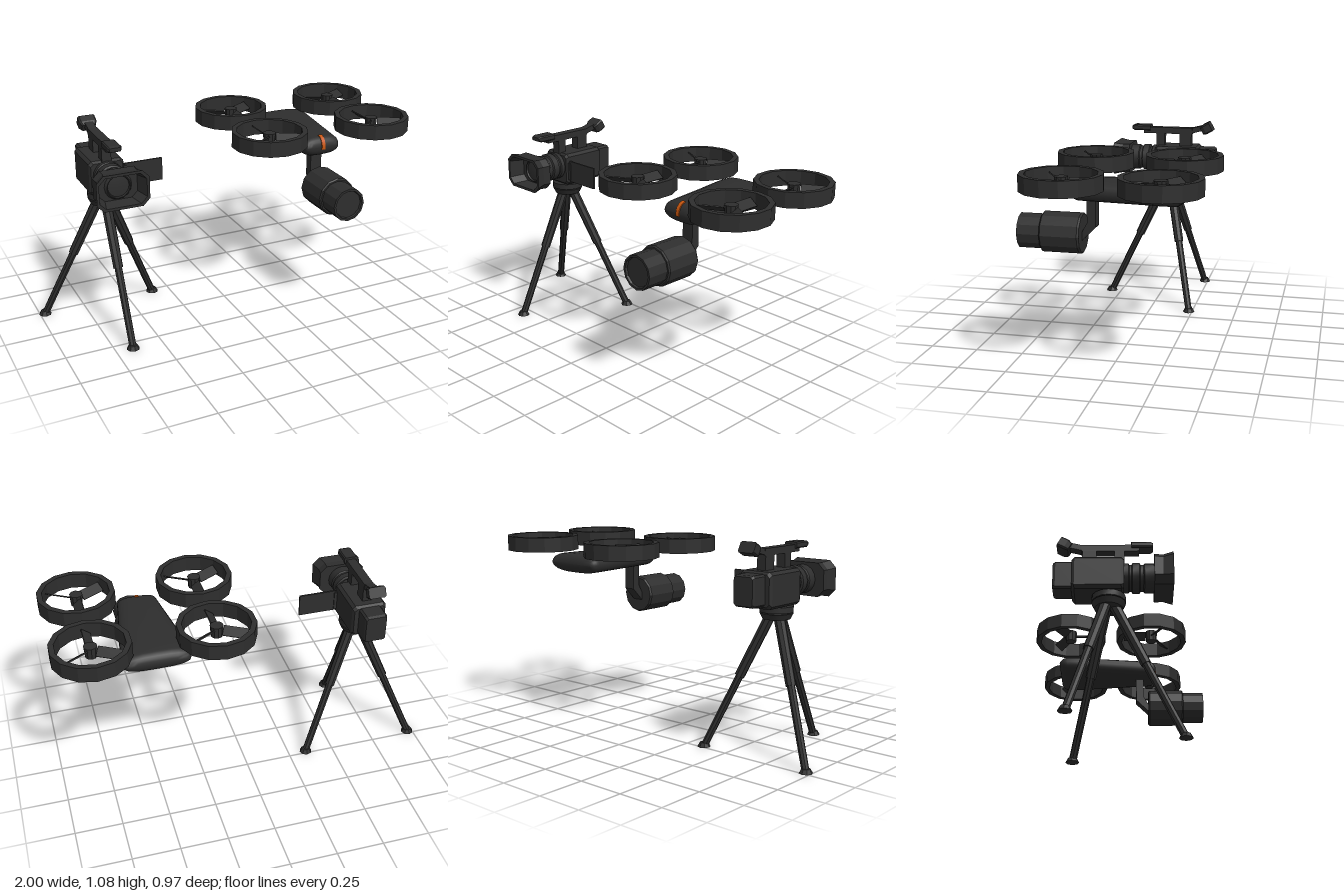
import * as THREE from 'three';
import { toCreasedNormals } from 'three/addons/utils/BufferGeometryUtils.js';

const dark = new THREE.MeshStandardMaterial({ color: 0x2e2e2e });
dark.name = 'charcoal';
const orange = new THREE.MeshStandardMaterial({ color: 0xc8560f });
orange.name = 'orange';

function add(parent, name, geo, pos = [0, 0, 0], crease = 0.1, mat = dark) {
  const mesh = new THREE.Mesh(toCreasedNormals(geo, crease), mat);
  mesh.name = name;
  mesh.position.set(...pos);
  parent.add(mesh);
  return mesh;
}
const box = (x, y, z) => new THREE.BoxGeometry(x, y, z);

// Skin over cross-sections ordered from back to front, capped at both ends
function loft(sections) {
  const n = sections[0].length, pos = sections.flat(2), idx = [];
  for (let i = 0; i < sections.length - 1; i++) {
    for (let j = 0; j < n; j++) {
      const a = i * n + j, b = i * n + (j + 1) % n;
      idx.push(a, b, b + n, a, b + n, a + n);
    }
  }
  const last = (sections.length - 1) * n;
  for (let j = 1; j < n - 1; j++) idx.push(0, j + 1, j, last, last + j, last + j + 1);
  const g = new THREE.BufferGeometry();
  g.setAttribute('position', new THREE.Float32BufferAttribute(pos, 3));
  g.setIndex(idx);
  return g;
}

// Rectangle with cut corners, half sizes w and h, counter-clockwise from the front
const cutRect = (w, h, c, z) => [
  [w, -h + c, z], [w, h - c, z], [w - c, h, z], [-w + c, h, z],
  [-w, h - c, z], [-w, -h + c, z], [-w + c, -h, z], [w - c, -h, z],
];

// Solid of revolution lying along z, from [radius, z] pairs
function turned(points, sides) {
  const g = new THREE.LatheGeometry(points.map(([r, z]) => new THREE.Vector2(r, z)), sides);
  return g.rotateX(Math.PI / 2);
}

// Flat side profile of [z, y] points, given a width in x
function sideProfile(points, width) {
  const shape = new THREE.Shape(points.map(([z, y]) => new THREE.Vector2(z, y)));
  const g = new THREE.ExtrudeGeometry(shape, { depth: width, bevelEnabled: false });
  return g.rotateY(-Math.PI / 2).translate(width / 2, 0, 0);
}

function rod(parent, name, a, b, r1, r2) {
  const d = b.clone().sub(a);
  const m = add(parent, name, new THREE.CylinderGeometry(r2, r1, d.length(), 8));
  m.position.copy(a).add(b).multiplyScalar(0.5);
  m.quaternion.setFromUnitVectors(new THREE.Vector3(0, 1, 0), d.normalize());
}

function buildTripod() {
  const g = new THREE.Group();
  g.name = 'tripod';
  g.position.z = -0.052;
  // Stacked head plates
  add(g, 'headPlate', new THREE.CylinderGeometry(0.085, 0.085, 0.03, 16), [0, 0.731, 0], 0.5);
  add(g, 'headNeck', new THREE.CylinderGeometry(0.075, 0.075, 0.012, 16), [0, 0.712, 0], 0.5);
  add(g, 'headBase', new THREE.CylinderGeometry(0.085, 0.07, 0.03, 16), [0, 0.696, 0], 0.5);
  // Three telescopic legs
  for (let i = 0; i < 3; i++) {
    const a = i * Math.PI * 2 / 3;
    const at = (r, y) => new THREE.Vector3(Math.sin(a) * r, y, Math.cos(a) * r);
    rod(g, 'upperLeg', at(0.18, 0.38), at(0.03, 0.695), 0.026, 0.028);
    rod(g, 'lowerLeg', at(0.355, 0.012), at(0.175, 0.39), 0.019, 0.02);
    add(g, 'foot', new THREE.CylinderGeometry(0.022, 0.034, 0.022, 8), at(0.36, 0.011).toArray());
  }
  return g;
}

function buildVideoCamera() {
  const g = new THREE.Group();
  g.name = 'videoCamera';
  g.position.y = 0.855;
  // Main housing and battery block
  add(g, 'housing', loft([cutRect(0.084, 0.078, 0.015, -0.235), cutRect(0.092, 0.09, 0.015, -0.22),
    cutRect(0.092, 0.09, 0.015, 0.01), cutRect(0.084, 0.08, 0.015, 0.024)]), [0, -0.013, 0]);
  add(g, 'battery', loft([cutRect(0.055, 0.07, 0.01, -0.328), cutRect(0.06, 0.077, 0.01, -0.315),
    cutRect(0.06, 0.077, 0.01, -0.22)]), [0, -0.01, 0]);
  // Stepped lens barrel
  add(g, 'lensBarrel', turned([[0, 0], [0.075, 0], [0.075, 0.045], [0.067, 0.05], [0.067, 0.06],
    [0.077, 0.065], [0.077, 0.1], [0.068, 0.105], [0.068, 0.12], [0.074, 0.125], [0.074, 0.18],
    [0.062, 0.2], [0.058, 0.2], [0.055, 0.19], [0, 0.196]], 16), [0, 0, 0], 0.5);
  // Hollow flared hood
  add(g, 'lensHood', loft([cutRect(0.124, 0.086, 0.035, 0.172), cutRect(0.12, 0.084, 0.034, 0.215),
    cutRect(0.136, 0.093, 0.036, 0.266), cutRect(0.122, 0.079, 0.032, 0.266),
    cutRect(0.1, 0.072, 0.03, 0.185)]));
  // Top handle, microphone and eyepiece
  add(g, 'handleBar', box(0.05, 0.036, 0.29), [0, 0.165, -0.045]);
  add(g, 'frontPost', box(0.05, 0.1, 0.05), [0, 0.105, 0.0]);
  add(g, 'rearPost', box(0.05, 0.1, 0.07), [0, 0.105, -0.15]);
  add(g, 'microphone', loft([cutRect(0.036, 0.016, 0.006, 0.06), cutRect(0.036, 0.016, 0.006, 0.155),
    cutRect(0.03, 0.01, 0.005, 0.17)]), [0, 0.18, 0]);
  add(g, 'eyepieceArm', box(0.045, 0.03, 0.1), [0, 0.175, -0.215]).rotation.x = 0.25;
  add(g, 'eyepiece', loft([cutRect(0.046, 0.029, 0.008, -0.03), cutRect(0.046, 0.029, 0.008, 0.01),
    cutRect(0.036, 0.022, 0.006, 0.03)]), [0, 0.183, -0.274]).rotation.x = 0.5;
  // Fold-out screen
  add(g, 'screenHinge', box(0.02, 0.1, 0.02), [0.098, -0.02, 0.004]);
  add(g, 'screen', box(0.205, 0.12, 0.01), [0.2, -0.02, 0.004]);
  return g;
}

function buildRotor(x, z, turn) {
  const g = new THREE.Group();
  g.name = 'rotor';
  g.position.set(x, 0.98, z);
  g.rotation.y = turn;
  const ring = [[0.172, -0.04], [0.2, -0.04], [0.2, 0.04], [0.172, 0.04], [0.172, -0.04]]
    .map(p => new THREE.Vector2(...p));
  add(g, 'guardRing', new THREE.LatheGeometry(ring, 14));
  add(g, 'hub', new THREE.CylinderGeometry(0.034, 0.03, 0.06, 10), [0, -0.005, 0]);
  for (let i = 0; i < 3; i++) {
    const blade = box(0.054, 0.006, 0.125);
    blade.rotateZ(0.65).translate(0, 0, 0.096).rotateY(i * Math.PI * 2 / 3);
    add(g, 'blade', blade);
  }
  return g;
}

function buildDrone() {
  const g = new THREE.Group();
  g.name = 'drone';
  g.position.x = 0.485;
  // Tapered body with rounded tail and nose
  const section = (z, w, h) => Array.from({ length: 24 }, (_, i) => {
    const a = i / 24 * Math.PI * 2, c = Math.cos(a), s = Math.sin(a);
    return [Math.sign(c) * w * Math.abs(c) ** 0.65, 0.887 + Math.sign(s) * h * Math.abs(s) ** 0.7, z];
  });
  const sections = [];
  for (let k = 0; k <= 6; k++) {
    const t = 0.1 + k / 6 * (Math.PI / 2 - 0.1), s = Math.sin(t);
    sections.push(section(-0.315 - 0.047 * Math.cos(t), 0.172 - 0.03 * (1 - s), 0.0525 * s));
  }
  sections.push(section(-0.25, 0.17, 0.0525));
  for (let k = 6; k >= 0; k--) {
    const t = 0.1 + k / 6 * (Math.PI / 2 - 0.1), s = Math.sin(t);
    sections.push(section(0.165 + 0.043 * Math.cos(t), 0.106 - 0.022 * (1 - s), 0.0525 * s));
  }
  add(g, 'body', loft(sections), [0, 0, 0], 0.7);
  // Marker strip wrapped over the nose
  const arc = off => Array.from({ length: 9 }, (_, i) => {
    const t = -0.2 + i / 8 * (Math.PI / 2 + 0.2);
    return [0.165 + (0.043 + off) * Math.cos(t), 0.887 + (0.0525 + off) * Math.sin(t)];
  });
  add(g, 'noseStrip', sideProfile([...arc(0.005), ...arc(-0.003).reverse()], 0.02), [0, 0, 0], 0.5, orange);
  // Bent gimbal arm and hanging camera
  add(g, 'gimbalArm', sideProfile([[0.137, 0.85], [0.092, 0.85], [0.092, 0.7], [0.17, 0.622],
    [0.17, 0.66], [0.137, 0.72]], 0.065));
  add(g, 'gimbalCamera', turned([[0, 0.163], [0.098, 0.163], [0.105, 0.172], [0.105, 0.36],
    [0.098, 0.367], [0.09, 0.367], [0.09, 0.485], [0.078, 0.485], [0.074, 0.475], [0, 0.475]], 12),
  [0, 0.66, 0]);
  // Four guarded rotors
  for (const side of [-1, 1]) {
    g.add(buildRotor(side * 0.31, -0.287, 0));
    g.add(buildRotor(side * 0.31, 0.178, Math.PI));
  }
  return g;
}

export function createModel() {
  const model = new THREE.Group();
  model.name = 'filmingEquipment';
  const station = new THREE.Group();
  station.name = 'cameraStation';
  station.position.x = -0.66;
  station.add(buildTripod(), buildVideoCamera());
  model.add(station, buildDrone());
  return model;
}
